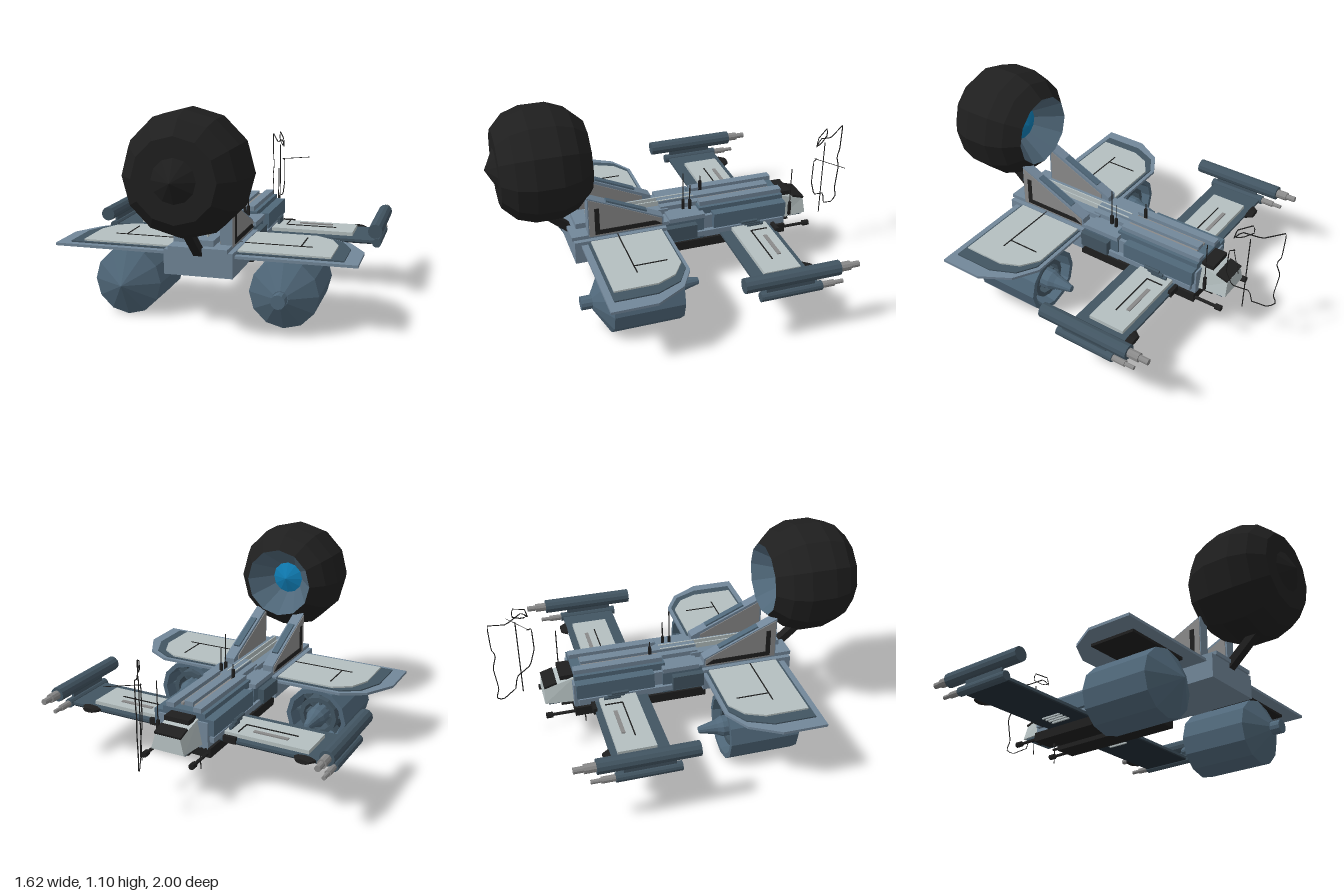
import * as THREE from 'three';

const DARK = 0x425562, MID = 0x50687a, LIGHT = 0x72879a, PALE = 0xb4bfc0, BLACK = 0x1f1f1f, GREY = 0x8a8a8a, NAVY = 0x232e37, BLUE = 0x0f7db5;

export function createModel() {
  const root = new THREE.Group();
  const mats = {};
  const mat = (c) => mats[c] ??= new THREE.MeshStandardMaterial({ color: c, flatShading: true, side: THREE.DoubleSide });
  const add = (name, geo, c) => {
    const m = new THREE.Mesh(geo, mat(c));
    m.name = name;
    root.add(m);
    return m;
  };
  // Box given by its extents
  const box = (name, c, x0, x1, y0, y1, z0, z1) =>
    add(name, new THREE.BoxGeometry(x1 - x0, y1 - y0, z1 - z0).translate((x0 + x1) / 2, (y0 + y1) / 2, (z0 + z1) / 2), c);
  const pair = (name, c, x0, x1, y0, y1, z0, z1) => {
    box(name + 'Left', c, x0, x1, y0, y1, z0, z1);
    box(name + 'Right', c, -x1, -x0, y0, y1, z0, z1);
  };
  // Turned part along z, profile given as [radius, z]
  const turned = (name, c, x, y, pts, n = 12) =>
    add(name, new THREE.LatheGeometry(pts.map((p) => new THREE.Vector2(...p)), n).rotateX(Math.PI / 2).translate(x, y, 0), c);
  const rod = (name, c, x, y, r, z0, z1, n = 12) => turned(name, c, x, y, [[0, z0], [r, z0], [r, z1], [0, z1]], n);
  const shape = (pts) => new THREE.Shape(pts.map((p) => new THREE.Vector2(...p)));
  // Flat plate with an (x, z) outline
  const plate = (name, c, pts, y0, y1) =>
    add(name, new THREE.ExtrudeGeometry(shape(pts), { depth: y1 - y0, bevelEnabled: false }).rotateX(Math.PI / 2).translate(0, y1, 0), c);
  // Upright panel with a (z, y) outline
  const panel = (name, c, pts, x0, x1) =>
    add(name, new THREE.ExtrudeGeometry(shape(pts.map(([z, y]) => [-z, y])), { depth: x1 - x0, bevelEnabled: false }).rotateY(Math.PI / 2).translate(x0, 0, 0), c);
  const wire = (name, pts, r = 0.003) => {
    const path = new THREE.CurvePath();
    const v = pts.map((p) => new THREE.Vector3(...p));
    for (let i = 1; i < v.length; i++) path.add(new THREE.LineCurve3(v[i - 1], v[i]));
    add(name, new THREE.TubeGeometry(path, (v.length - 1) * 3, r, 4), BLACK);
  };

  // Fuselage
  box('rearHull', LIGHT, -0.175, 0.175, 0.265, 0.39, 0.1, 0.6);
  box('rearDeck', LIGHT, -0.15, 0.15, 0.39, 0.41, 0.08, 0.61);
  box('rearSpine', LIGHT, -0.07, 0.07, 0.41, 0.44, 0.06, 0.57);
  box('midHull', MID, -0.15, 0.15, 0.27, 0.40, -0.12, 0.1);
  box('midDeck', LIGHT, -0.16, 0.16, 0.4, 0.425, -0.12, 0.08);
  box('frontHull', LIGHT, -0.14, 0.14, 0.26, 0.40, -0.6, -0.12);
  box('frontDeck', MID, -0.12, 0.12, 0.4, 0.44, -0.59, -0.1);
  box('frontSpine', LIGHT, -0.025, 0.025, 0.44, 0.465, -0.54, 0.1);
  box('spineCover', LIGHT, -0.06, 0.06, 0.425, 0.45, -0.12, 0.1);
  pair('deckRail', LIGHT, 0.055, 0.1, 0.44, 0.465, -0.59, -0.11);
  pair('deckGroove', GREY, 0.03, 0.045, 0.44, 0.452, -0.54, -0.12);
  pair('sideFairing', MID, 0.1, 0.17, 0.33, 0.415, -0.59, -0.17);
  pair('sideLedge', LIGHT, 0.14, 0.165, 0.29, 0.32, -0.58, 0.1);
  pair('shoulderBlock', DARK, 0.14, 0.185, 0.3, 0.38, -0.07, 0.1);
  pair('spineLine', PALE, 0.015, 0.022, 0.44, 0.468, -0.1, 0.5);
  pair('bellyPod', BLACK, 0.03, 0.155, 0.215, 0.265, -0.6, 0.12);
  box('bellyPlate', BLACK, -0.14, 0.14, 0.24, 0.262, -0.58, 0.08);
  for (const s of [1, -1]) for (let i = 0; i < 3; i++)
    rod('coolingPipe', DARK, s * (0.185 + i * 0.004), 0.32 + i * 0.015, 0.01, -0.45 + i * 0.02, -0.36 + i * 0.02, 6);

  // Cockpit built from tapering cross-sections
  const cab = new THREE.BoxGeometry(0.22, 0.13, 0.16);
  const p = cab.attributes.position;
  for (let i = 0; i < p.count; i++) {
    if (p.getY(i) > 0) p.setX(i, p.getX(i) * 0.75);
    if (p.getZ(i) < 0) {
      p.setX(i, p.getX(i) * 0.85);
      if (p.getY(i) > 0) p.setXYZ(i, p.getX(i), 0.015, -0.075);
    }
  }
  add('cockpit', cab.translate(0, 0.345, -0.67), PALE);
  box('cockpitRoof', BLACK, -0.07, 0.07, 0.4, 0.425, -0.66, -0.59);
  const glass = add('windscreen', new THREE.BoxGeometry(0.15, 0.012, 0.07), BLACK);
  glass.position.set(0, 0.377, -0.713);
  glass.rotation.x = -0.3;
  box('chin', DARK, -0.09, 0.09, 0.27, 0.29, -0.73, -0.6);
  for (const s of [1, -1]) {
    rod('noseGunBarrel', BLACK, s * 0.135, 0.235, 0.009, -0.74, -0.55, 6);
    rod('noseGunMuzzle', BLACK, s * 0.135, 0.235, 0.016, -0.755, -0.72, 8);
    rod('innerGunBarrel', BLACK, s * 0.06, 0.24, 0.008, -0.66, -0.55, 6);
  }

  // Forward wings
  pair('forwardWing', DARK, 0.14, 0.76, 0.278, 0.292, -0.51, -0.21);
  pair('forwardWingUnderside', NAVY, 0.14, 0.74, 0.27, 0.278, -0.505, -0.215);
  pair('forwardWingPanel', PALE, 0.16, 0.625, 0.292, 0.312, -0.475, -0.275);
  pair('panelStrip', GREY, 0.3, 0.49, 0.312, 0.318, -0.425, -0.405);
  pair('panelSeam', BLACK, 0.23, 0.52, 0.312, 0.316, -0.365, -0.359);
  pair('panelSeamCross', BLACK, 0.23, 0.236, 0.312, 0.316, -0.455, -0.36);
  pair('wingRootBlock', BLACK, 0.18, 0.25, 0.275, 0.31, -0.52, -0.5);
  for (let i = 0; i < 4; i++)
    pair('undersideRib', PALE, 0.2 + i * 0.025, 0.21 + i * 0.025, 0.262, 0.272, -0.42, -0.3);
  for (const s of [1, -1]) {
    add('edgeSensor', new THREE.CylinderGeometry(0.035, 0.06, 0.035, 10).translate(0, 0, 0)
      .rotateX(-Math.PI / 2).scale(1, 0.35, 1).translate(s * 0.62, 0.285, -0.53), BLACK);
    const x = s * 0.77;
    // Wingtip guns
    rod('upperGunTube', DARK, x, 0.37, 0.039, -0.61, -0.1);
    turned('upperGunMuzzle', GREY, x, 0.37, [[0, -0.72], [0.016, -0.72], [0.016, -0.67], [0.024, -0.67], [0.024, -0.6]], 10);
    rod('lowerGunTube', DARK, x, 0.283, 0.025, -0.52, -0.19);
    turned('lowerGunMuzzle', GREY, x, 0.283, [[0, -0.64], [0.011, -0.64], [0.011, -0.59], [0.017, -0.59], [0.017, -0.51]], 10);
    box('gunPost', DARK, x - 0.006, x + 0.006, 0.3, 0.34, -0.48, -0.22);

    // Rear wings: three stacked plates
    const out = (pts) => pts.map(([a, b]) => [a * s, b]);
    plate('rearWing', LIGHT, out([[0.12, 0.1], [0.55, 0.1], [0.68, 0.175], [0.77, 0.33], [0.77, 0.565], [0.12, 0.565]]), 0.357, 0.371);
    plate('rearWingFrame', DARK, out([[0.13, 0.12], [0.54, 0.12], [0.64, 0.18], [0.7, 0.31], [0.7, 0.53], [0.13, 0.53]]), 0.371, 0.378);
    plate('rearWingPanel', PALE, out([[0.14, 0.13], [0.5, 0.13], [0.59, 0.19], [0.635, 0.29], [0.635, 0.515], [0.14, 0.515]]), 0.378, 0.387);

    // Engines with open intakes, rings and a centre spike
    const ex = s * 0.405, ey = 0.18;
    const tail = s > 0 ? [[0.04, 0.58], [0.036, 0.58], [0.036, 0.635], [0, 0.635]] : [[0, 0.6]];
    turned('engineShell', MID, ex, ey, [[0.13, 0.3], [0.15, 0.13], [0.175, 0.13], [0.175, 0.5], ...tail]);
    turned('intakeRing', DARK, ex, ey, [[0.085, 0.3], [0.085, 0.16], [0.11, 0.16], [0.11, 0.3]]);
    turned('intakeBack', NAVY, ex, ey, [[0, 0.26], [0.14, 0.26]]);
    turned('intakeSpike', MID, ex, ey, [[0, 0], [0.018, 0.005], [0.04, 0.1], [0.055, 0.13], [0.055, 0.27]]);
    for (let i = 0; i < 4; i++) {
      const vane = add('intakeVane', new THREE.BoxGeometry(0.29, 0.012, 0.06), DARK);
      vane.position.set(ex, ey, 0.22);
      vane.rotation.z = (i * Math.PI) / 4;
    }

    // Tail fins that carry the rear thruster
    const f0 = s > 0 ? 0.09 : -0.15;
    panel('tailFin', LIGHT, [[0.52, 0.38], [0.52, 0.63], [0.11, 0.445], [0.11, 0.38]], f0, f0 + 0.06);
    const skin = (name, c, pts, a, b) => panel(name, c, pts, s > 0 ? a : -b, s > 0 ? b : -a);
    skin('finOuterSkin', GREY, [[0.515, 0.4], [0.515, 0.62], [0.4, 0.57], [0.12, 0.44], [0.12, 0.4]], 0.15, 0.154);
    skin('finStripe', BLACK, [[0.485, 0.41], [0.485, 0.565], [0.46, 0.565], [0.46, 0.435], [0.16, 0.435], [0.12, 0.41]], 0.154, 0.158);
    skin('finInnerSkin', GREY, [[0.51, 0.41], [0.51, 0.61], [0.16, 0.45], [0.16, 0.41]], 0.086, 0.09);
    const cap = add('finCap', new THREE.BoxGeometry(0.035, 0.02, 0.24), MID);
    cap.position.set(s * 0.12, 0.535, 0.31);
    cap.rotation.x = -0.424;
  }
  pair('rearWingSeam', BLACK, 0.15, 0.52, 0.387, 0.39, 0.362, 0.368);
  pair('rearWingSeamCross', BLACK, 0.458, 0.464, 0.387, 0.39, 0.19, 0.365);
  pair('rearWingKeel', BLACK, 0.28, 0.66, 0.343, 0.357, 0.25, 0.5);

  // Rear thruster
  const ty = 0.8;
  turned('thrusterBody', BLACK, 0, ty, [[0.195, 0.485], [0.265, 0.56], [0.3, 0.65], [0.3, 0.785], [0.27, 0.875], [0.2, 0.945], [0.105, 0.945], [0, 1]]);
  turned('thrusterFunnel', MID, 0, ty, [[0.09, 0.62], [0.195, 0.485]]);
  turned('thrusterLens', BLUE, 0, ty, [[0, 0.585], [0.09, 0.62]]);
  const strut = add('thrusterStrut', new THREE.BoxGeometry(0.045, 0.04, 0.23), BLACK);
  strut.position.set(0, 0.455, 0.67);
  strut.rotation.x = -0.72;

  // Antennas
  for (const [x, z, y0, y1] of [[0.07, -0.025, 0.42, 0.64], [0.08, -0.06, 0.42, 0.57], [-0.05, -0.165, 0.45, 0.54], [0.12, -0.64, 0.32, 0.59], [-0.06, -0.535, 0.1, 0.23]]) {
    wire('antenna', [[x, y0, z], [x, y1, z]]);
    box('antennaBase', BLACK, x - 0.007, x + 0.007, y0 < 0.2 ? 0.2 : y0 - 0.02, y0 < 0.2 ? 0.23 : y0 + 0.06, z - 0.007, z + 0.007);
  }

  // Bent wire loop ahead of the nose, lying in one slanted plane
  const slant = ([z, y]) => [0.12 * (1 + z) / 0.22, y, z];
  wire('wireLoop', [[-0.78, 0.7], [-0.79, 0.75], [-0.86, 0.785], [-0.865, 0.74], [-0.82, 0.71], [-0.78, 0.7], [-0.81, 0.74], [-0.9, 0.71], [-0.997, 0.75],
    [-0.99, 0.6], [-0.97, 0.56], [-0.993, 0.49], [-0.975, 0.35], [-0.993, 0.3], [-0.96, 0.27], [-0.885, 0.3], [-0.87, 0.37],
    [-0.79, 0.4], [-0.76, 0.49], [-0.765, 0.62], [-0.79, 0.625]].map(slant));
  wire('wireUpright', [[-0.85, 0.7], [-0.845, 0.26]].map(slant));
  wire('wireSpike', [[0.11, 0.625, -0.78], [0.26, 0.625, -0.885]], 0.002);
  return root;
}
